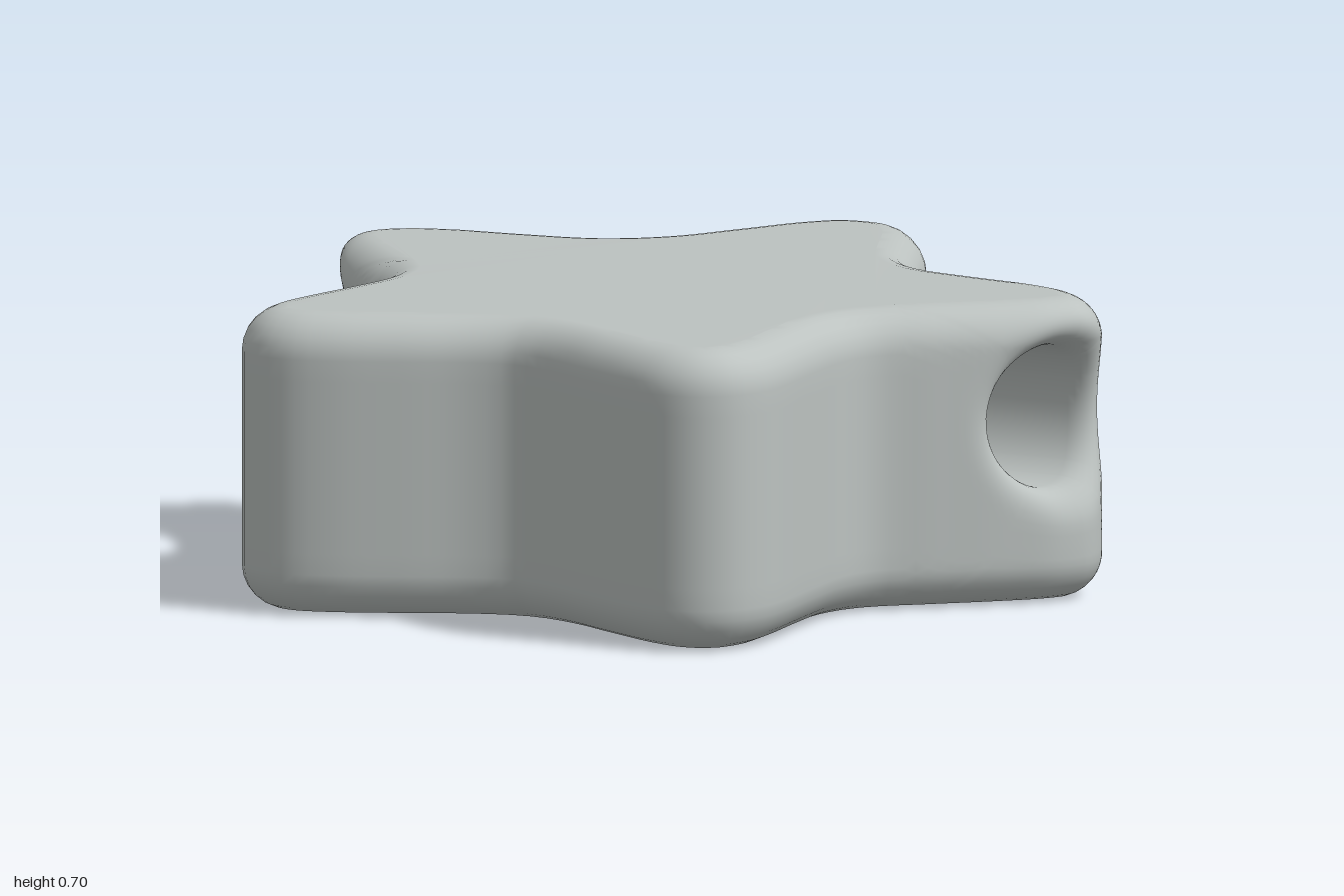
import * as THREE from 'three';
import { mergeVertices } from 'three/addons/utils/BufferGeometryUtils.js';

const HEIGHT = 0.7, BEVEL = 0.1;
const U_STEPS = 96, ARC_STEPS = 6, WALL_STEPS = 10, V_STEPS = 2 * ARC_STEPS + WALL_STEPS;
const HOLE = { z: -0.12, y: 0.43, rz: 0.127, ry: 0.165, flare: 0.09 };

// Half of the star outline (x, z), from the back tip round to the front notch
const HALF = [
  [0, -0.95], [0.1, -0.925], [0.18, -0.84], [0.27, -0.665], [0.35, -0.515], [0.45, -0.435],
  [0.6, -0.405], [0.78, -0.38], [0.9, -0.335], [0.975, -0.265], [1, -0.18], [0.965, -0.09],
  [0.88, 0.01], [0.76, 0.13], [0.66, 0.235], [0.635, 0.33], [0.65, 0.48], [0.68, 0.68],
  [0.682, 0.78], [0.65, 0.875], [0.585, 0.93], [0.5, 0.945], [0.4, 0.92], [0.25, 0.85],
  [0.1, 0.775], [0, 0.75],
];

function starCurve() {
  const other = HALF.slice(1, -1).reverse().map(([x, z]) => [-x, z]);
  const points = [...HALF, ...other].map(([x, z]) => new THREE.Vector3(x, 0, z));
  return new THREE.CatmullRomCurve3(points, true, 'centripetal');
}

// Rounded edge profile: v in steps gives the inset from the outline and the height
function profile(v) {
  const top = v > V_STEPS / 2;
  const w = top ? V_STEPS - v : v;
  let inset = 0, y;
  if (w < ARC_STEPS) {
    const a = (w / ARC_STEPS) * Math.PI / 2;
    inset = BEVEL * (1 - Math.sin(a));
    y = BEVEL * (1 - Math.cos(a));
  } else {
    y = BEVEL + (w - ARC_STEPS) / WALL_STEPS * (HEIGHT - 2 * BEVEL);
  }
  return [inset, top ? HEIGHT - y : y];
}

function createBeadGeometry() {
  const curve = starCurve();
  const triangles = [];
  const at = (u) => curve.getPointAt(u / (2 * U_STEPS));

  // Point on the plain star wall
  const wall = (u, v) => {
    const p = at(u), t = curve.getTangentAt(u / (2 * U_STEPS));
    const [inset, y] = profile(v);
    const x = u === 0 || u === U_STEPS ? 0 : p.x - t.z * inset;
    return new THREE.Vector3(x, y, p.z + t.x * inset);
  };

  // Wall point sunk in a round lip near the hole
  const flaredWall = (u, v) => {
    const p = wall(u, v);
    const rho = Math.hypot((p.z - HOLE.z) / HOLE.rz, (p.y - HOLE.y) / HOLE.ry);
    const k = 1 - Math.max(0, (rho - 1) * 0.15) / HOLE.flare;
    if (k > 0) p.x -= HOLE.flare * (1 - Math.sqrt(Math.max(0, 1 - k * k)));
    return p;
  };

  // Each triangle is added together with its mirror image
  const tri = (a, b, c) => {
    for (const p of [a, b, c]) triangles.push(p.x, p.y, p.z);
    for (const p of [a, c, b]) triangles.push(-p.x, p.y, p.z);
  };
  const quad = (a, b, c, d) => { tri(a, b, c); tri(a, c, d); };

  // Side wall, leaving out the tip that is pierced
  const grid = [];
  for (let i = 0; i <= U_STEPS; i++) {
    grid.push(Array.from({ length: V_STEPS + 1 }, (_, j) => wall(i, j)));
  }
  const first = grid.findIndex((col) => col[ARC_STEPS].x > 0.72);
  const last = grid.findIndex((col, i) => i > first && col[ARC_STEPS].z > 0.18);
  for (let i = 0; i < U_STEPS; i++) {
    if (i >= first && i < last) continue;
    for (let j = 0; j < V_STEPS; j++) {
      quad(grid[i][j], grid[i][j + 1], grid[i + 1][j + 1], grid[i + 1][j]);
    }
  }

  // Border of the pierced tip, in wall steps
  const border = [];
  for (let i = first; i < last; i++) border.push([i, 0]);
  for (let j = 0; j < V_STEPS; j++) border.push([last, j]);
  for (let i = last; i > first; i--) border.push([i, V_STEPS]);
  for (let j = V_STEPS; j > 0; j--) border.push([first, j]);

  // Wall step at a given z on the pierced tip
  const stepAt = (z) => {
    let lo = first, hi = last;
    for (let n = 0; n < 30; n++) {
      const mid = (lo + hi) / 2;
      if (at(mid).z < z) lo = mid; else hi = mid;
    }
    return lo;
  };
  const rim = border.map(([u, v]) => {
    const p = wall(u, v);
    const a = Math.atan2((p.y - HOLE.y) / HOLE.ry, (p.z - HOLE.z) / HOLE.rz);
    const y = HOLE.y + HOLE.ry * Math.sin(a);
    return [
      stepAt(HOLE.z + HOLE.rz * Math.cos(a)),
      ARC_STEPS + (y - BEVEL) / (HEIGHT - 2 * BEVEL) * WALL_STEPS,
    ];
  });

  // Rings from the middle of the tunnel, over the lip, to the border
  const rings = [];
  const RINGS = 18, TUNNEL = 6;
  for (let r = 0; r <= RINGS; r++) {
    const t = Math.pow(r / RINGS, 1.8);
    rings.push(border.map(([u, v], k) => (r === RINGS ? grid[u][v] : flaredWall(
      THREE.MathUtils.lerp(rim[k][0], u, t), THREE.MathUtils.lerp(rim[k][1], v, t)))));
  }
  const mouth = rings[0];
  for (let r = TUNNEL - 1; r >= 0; r--) {
    rings.unshift(mouth.map((p) => new THREE.Vector3(p.x * r / TUNNEL, p.y, p.z)));
  }
  for (let r = 0; r < rings.length - 1; r++) {
    const inner = rings[r], outer = rings[r + 1];
    for (let k = 0; k < border.length; k++) {
      const n = (k + 1) % border.length;
      quad(inner[k], inner[n], outer[n], outer[k]);
    }
  }

  // Flat top and bottom
  for (const [j, up] of [[V_STEPS, true], [0, false]]) {
    const loop = grid.map((col) => col[j]);
    const flat = loop.map((p) => new THREE.Vector2(p.x, p.z));
    for (const [a, b, c] of THREE.ShapeUtils.triangulateShape(flat, [])) {
      const facesUp = flat[b].clone().sub(flat[a]).cross(flat[c].clone().sub(flat[a])) < 0;
      if (facesUp === up) tri(loop[a], loop[b], loop[c]);
      else tri(loop[a], loop[c], loop[b]);
    }
  }

  const soup = new THREE.BufferGeometry();
  soup.setAttribute('position', new THREE.Float32BufferAttribute(triangles, 3));
  const geometry = mergeVertices(soup, 1e-4);
  geometry.computeVertexNormals();
  return geometry;
}

export function createModel() {
  const group = new THREE.Group();
  group.name = 'starBead';
  const material = new THREE.MeshStandardMaterial({ color: 0xbcc2c0 });
  material.name = 'paleGrey';
  const bead = new THREE.Mesh(createBeadGeometry(), material);
  bead.name = 'piercedStarBody';
  group.add(bead);
  return group;
}
